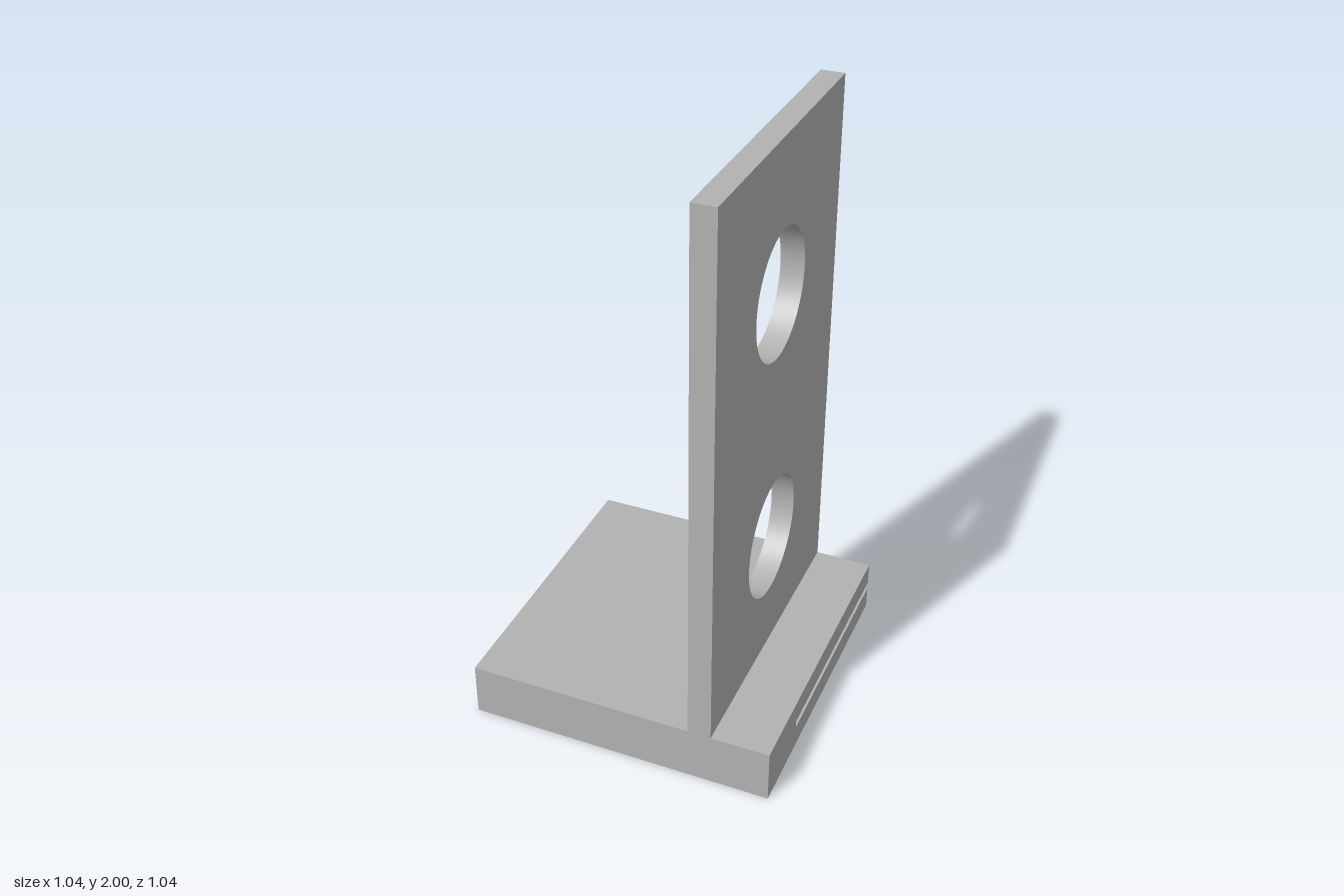
import * as THREE from 'three';
import { toCreasedNormals } from 'three/addons/utils/BufferGeometryUtils.js';

// Extrude a z-y profile along x, from x0 to x1
function extrudeAlongX(shape, x0, x1) {
  const geometry = new THREE.ExtrudeGeometry(shape, {
    depth: x1 - x0, bevelEnabled: false, curveSegments: 32,
  });
  geometry.rotateY(-Math.PI / 2).translate(x1, 0, 0);
  return toCreasedNormals(geometry, 0.5);
}

const outline = (points) => new THREE.Shape(points.map(([z, y]) => new THREE.Vector2(z, y)));

export function createModel() {
  const group = new THREE.Group();
  const grey = new THREE.MeshStandardMaterial({ color: 0xb2b2b2 });
  grey.name = 'grey';
  const half = 0.518, baseTop = 0.185;

  const add = (name, geometry) => {
    const mesh = new THREE.Mesh(geometry, grey);
    mesh.name = name;
    group.add(mesh);
  };

  // Base block with a thin slot open at the back
  const slotBottom = 0.079, slotTop = 0.105, slotEnd = 0.262;
  add('slottedBase', extrudeAlongX(outline([
    [-half, 0], [half, 0], [half, baseTop], [-half, baseTop],
    [-half, slotTop], [slotEnd, slotTop], [slotEnd, slotBottom], [-half, slotBottom],
  ]), -half, half));

  // Upright plate with two round holes
  const plate = outline([[-half, baseTop], [half, baseTop], [half, 2], [-half, 2]]);
  for (const y of [0.615, 1.498]) {
    plate.holes.push(new THREE.Path().absarc(0, y, 0.209, 0, Math.PI * 2, true));
  }
  add('uprightPlate', extrudeAlongX(plate, 0.244, 0.322));

  return group;
}
